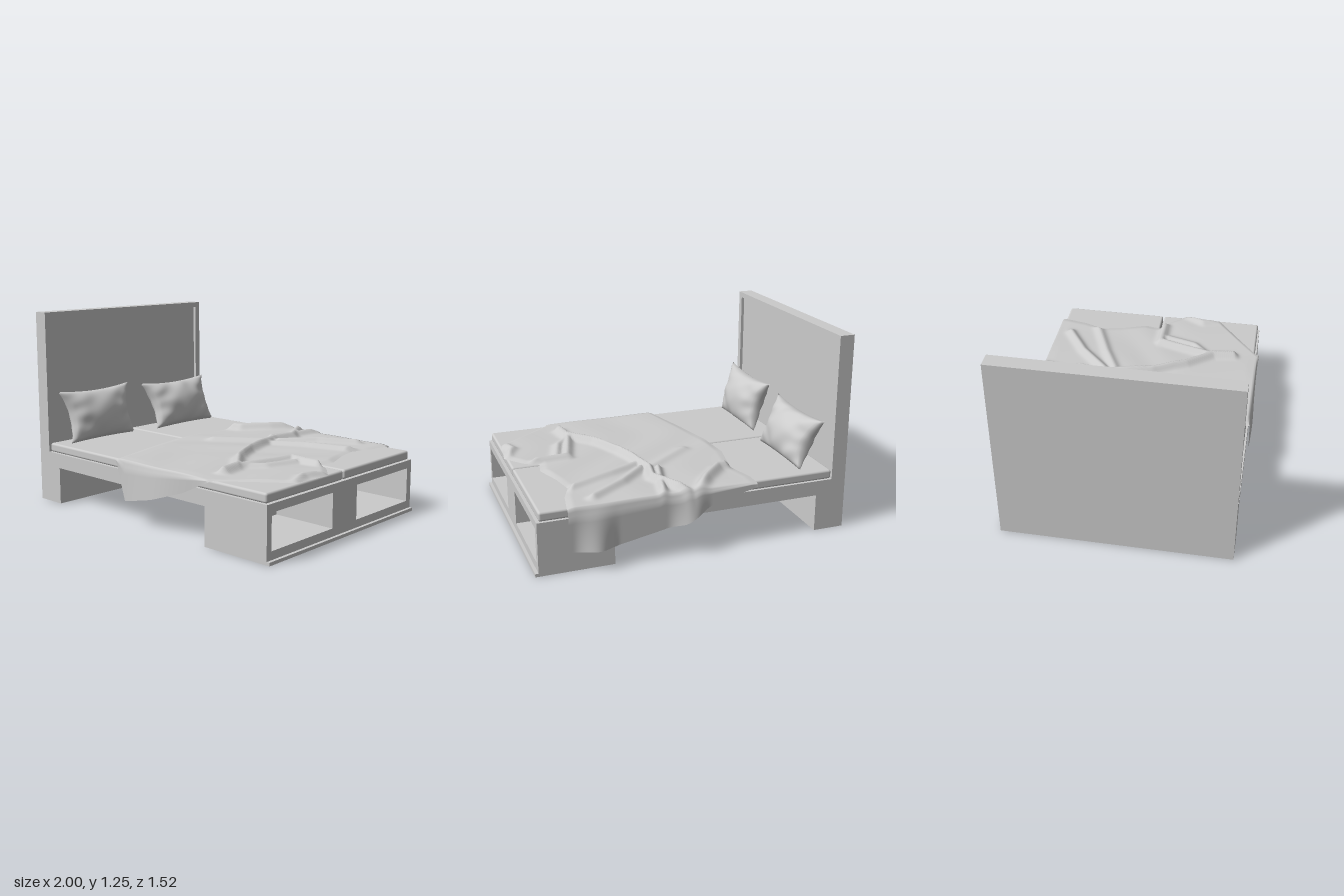
import * as THREE from 'three';
import { mergeVertices } from 'three/addons/utils/BufferGeometryUtils.js';
import { RoundedBoxGeometry } from 'three/addons/geometries/RoundedBoxGeometry.js';

const grey = new THREE.MeshStandardMaterial({ color: 0xcccccc });
const cloth = new THREE.MeshStandardMaterial({ color: 0xcccccc, side: THREE.DoubleSide });
const Z0 = -0.69, Z1 = 0.74; // the two long sides of the bed

// Box between two corners; a radius rounds its edges
function box(parent, name, [x0, x1], [y0, y1], [z0, z1], radius = 0) {
  const size = [x1 - x0, y1 - y0, z1 - z0];
  const geo = radius ? new RoundedBoxGeometry(...size, 3, radius) : new THREE.BoxGeometry(...size);
  const mesh = new THREE.Mesh(geo, grey);
  mesh.name = name;
  mesh.position.set((x0 + x1) / 2, (y0 + y1) / 2, (z0 + z1) / 2);
  parent.add(mesh);
}

// Piecewise linear curve through [t, value] points
function curve(points, t) {
  if (t <= points[0][0]) return points[0][1];
  for (let i = 1; i < points.length; i++) {
    const [a, va] = points[i - 1], [b, vb] = points[i];
    if (t <= b) return va + (vb - va) * (t - a) / (b - a);
  }
  return points[points.length - 1][1];
}

function makeHeadboard() {
  const g = new THREE.Group();
  g.name = 'headboard';
  const rim = [-0.925, -0.905];
  box(g, 'headboardPanel', [-1, -0.925], [0, 1.255], [Z0, Z1]);
  box(g, 'headboardTopRim', rim, [1.22, 1.255], [Z0, Z1]);
  box(g, 'headboardBottomRim', rim, [0, 0.34], [Z0, Z1]);
  box(g, 'headboardSideRim', rim, [0.34, 1.22], [Z0, -0.65]);
  box(g, 'headboardSideRim', rim, [0.34, 1.22], [0.70, Z1]);
  box(g, 'headPlinth', [-0.905, -0.8], [0, 0.24], [Z0, Z1]);
  return g;
}

function makeFootCabinet() {
  const g = new THREE.Group();
  g.name = 'footCabinet';
  box(g, 'cabinetBack', [0.52, 0.56], [0, 0.24], [Z0, Z1]);
  box(g, 'cabinetFloor', [0.56, 0.98], [0, 0.07], [Z0, Z1]);
  box(g, 'cabinetTop', [0.56, 0.98], [0.285, 0.335], [Z0, Z1]);
  // Uprights on either side of the two open niches
  for (const z of [[Z0, -0.645], [-0.09, 0.15], [0.70, Z1]])
    box(g, 'cabinetUpright', [0.56, 0.98], [0.07, 0.285], z);
  box(g, 'cabinetLip', [0.98, 1], [0, 0.02], [Z0, Z1]);
  return g;
}

// Pincushion pillow: pointed corners, puffed middle, pinched seam
function makePillow(name, x, y, z, halfW, halfH, depth, lean, seed) {
  const geo = new THREE.BoxGeometry(2, 2, 2, 1, 32, 32);
  const p = geo.attributes.position;
  for (let i = 0; i < p.count; i++) {
    const side = p.getX(i), t = p.getY(i), s = p.getZ(i);
    const a = 1 - s * s, b = 1 - t * t;
    const crease = 1 + 0.07 * Math.sin(9 * s + 5 * t + seed) * (1 - a * b)
      + 0.05 * Math.sin(14 * t * s + 2 * seed);
    p.setXYZ(i,
      side * depth * Math.pow(Math.max(a * b, 0), 0.5) * crease,
      t * halfH * (1 - 0.13 * a * (t > 0 ? 1 : 0.3)),
      s * halfW * (1 - 0.17 * b) * (1 + 0.05 * t));
  }
  geo.deleteAttribute('uv');
  geo.deleteAttribute('normal');
  const merged = mergeVertices(geo, 1e-5);
  merged.computeVertexNormals();
  const mesh = new THREE.Mesh(merged, cloth);
  mesh.name = name;
  mesh.position.set(x, y, z);
  mesh.rotation.z = lean;
  return mesh;
}

// Blanket outline: head and foot edges by z, hems of both hanging sides by x
const headEdge = [[-0.72, -0.38], [-0.6, -0.38], [-0.42, -0.33], [-0.38, -0.34], [-0.15, -0.39],
  [0.1, -0.375], [0.4, -0.31], [0.74, -0.22]];
const footEdge = [[-0.72, 0.8], [-0.68, 0.8], [-0.52, 0.77], [-0.4, 0.72], [-0.25, 0.75], [-0.08, 0.81],
  [0.03, 0.79], [0.07, 0.87], [0.2, 0.98], [0.45, 0.95], [0.6, 0.75], [0.74, 0.57]];
const backHem = [[-0.38, 0.37], [-0.1, 0.3], [0.1, 0.21], [0.3, 0.17], [0.52, 0.13], [0.8, 0.13]];
const frontHem = [[-0.22, 0.39], [-0.14, 0.145], [0.1, 0.2], [0.35, 0.285], [0.57, 0.39]];

// Folds: height, width, then the points of the ridge as [x, z]
const folds = [
  [0.045, 0.028, [0.04, -0.75], [0.2, -0.45], [0.17, -0.3], [0.25, 0.05], [0.36, 0.27], [0.5, 0.44], [0.52, 0.58]],
  [0.045, 0.035, [-0.36, -0.4], [-0.24, -0.43], [-0.1, -0.58], [0, -0.72]],
  [0.035, 0.025, [0.12, -0.32], [0.18, -0.55], [0.22, -0.72]],
  [0.03, 0.03, [0.22, -0.28], [0.4, -0.46], [0.62, -0.6]],
  [0.025, 0.03, [0.22, -0.2], [0.42, -0.3], [0.72, -0.42]],
  [0.035, 0.03, [0.5, 0.42], [0.56, 0.2], [0.6, 0.06], [0.8, 0.06]],
  [0.025, 0.03, [0.5, 0.4], [0.6, 0.3], [0.66, 0.1]],
  [0.02, 0.04, [-0.15, -0.05], [0.05, -0.2], [0.18, -0.3]],
  [0.025, 0.03, [0.95, 0.45], [0.9, 0.33], [0.96, 0.22]],
];

function foldHeight(x, z) {
  let h = 0;
  for (const [height, width, ...pts] of folds) {
    let d = Infinity;
    for (let i = 1; i < pts.length; i++) {
      const [ax, az] = pts[i - 1], dx = pts[i][0] - ax, dz = pts[i][1] - az;
      const t = THREE.MathUtils.clamp(((x - ax) * dx + (z - az) * dz) / (dx * dx + dz * dz), 0, 1);
      d = Math.min(d, Math.hypot(x - ax - dx * t, z - az - dz * t));
    }
    h = Math.max(h, height * Math.exp(-((d / width) ** 2)));
  }
  return h + 0.003 * (1 + Math.sin(13 * x + 7 * z + 2 * Math.sin(6 * z)));
}

function makeBlanket() {
  const nu = 110, drop = 12, top = 110, rows = top + 2 * drop;
  const pos = [], index = [];
  for (let r = 0; r <= rows; r++) {
    const v = THREE.MathUtils.clamp((r - drop) / top, 0, 1);
    const zt = THREE.MathUtils.lerp(-0.7, 0.745, v);
    const back = Math.max(0, drop - r) / drop, front = Math.max(0, r - drop - top) / drop;
    const x0 = curve(headEdge, zt), x1 = curve(footEdge, zt);
    for (let c = 0; c <= nu; c++) {
      const u = c / nu, x = THREE.MathUtils.lerp(x0, x1, u);
      const edge = Math.min(1, Math.min(u, 1 - u) * 30);
      const shoulder = Math.min(1, v * 25, (1 - v) * 25);
      let y = 0.394 + edge * (0.006 + foldHeight(x, zt) * (0.4 + 0.6 * shoulder));
      let z = zt;
      if (back) { // far side hangs in soft waves
        y += (curve(backHem, x) - y) * back;
        z -= 0.015 * Math.min(1, back * 4) + 0.045 * back * Math.max(0, Math.sin(11 * x + 0.9)) ** 2;
      }
      if (front) { // near side hangs as one pointed corner
        y += (curve(frontHem, x) - y) * front;
        z += 0.012 * Math.min(1, front * 4) + 0.006 * Math.sin(10 * x + 1) * front;
      }
      pos.push(x, y, z);
      if (r < rows && c < nu) {
        const a = r * (nu + 1) + c, b = a + nu + 1;
        index.push(a, b, a + 1, b, b + 1, a + 1);
      }
    }
  }
  const geo = new THREE.BufferGeometry();
  geo.setAttribute('position', new THREE.Float32BufferAttribute(pos, 3));
  geo.setIndex(index);
  geo.computeVertexNormals();
  const mesh = new THREE.Mesh(geo, cloth);
  mesh.name = 'blanket';
  return mesh;
}

export function createModel() {
  const bed = new THREE.Group();
  bed.name = 'bed';
  bed.add(makeHeadboard(), makeFootCabinet());
  box(bed, 'platform', [-0.905, 0.56], [0.24, 0.335], [Z0, Z1]);
  // Two mattresses side by side with a narrow gap
  box(bed, 'mattress', [-0.905, 0.965], [0.335, 0.393], [-0.68, 0.022], 0.014);
  box(bed, 'mattress', [-0.905, 0.965], [0.335, 0.393], [0.032, 0.728], 0.014);
  bed.add(
    makePillow('leftPillow', -0.80, 0.57, 0.395, 0.29, 0.175, 0.095, 0.28, 1),
    makePillow('rightPillow', -0.782, 0.555, -0.345, 0.3, 0.17, 0.1, 0.42, 4),
    makeBlanket());
  return bed;
}
